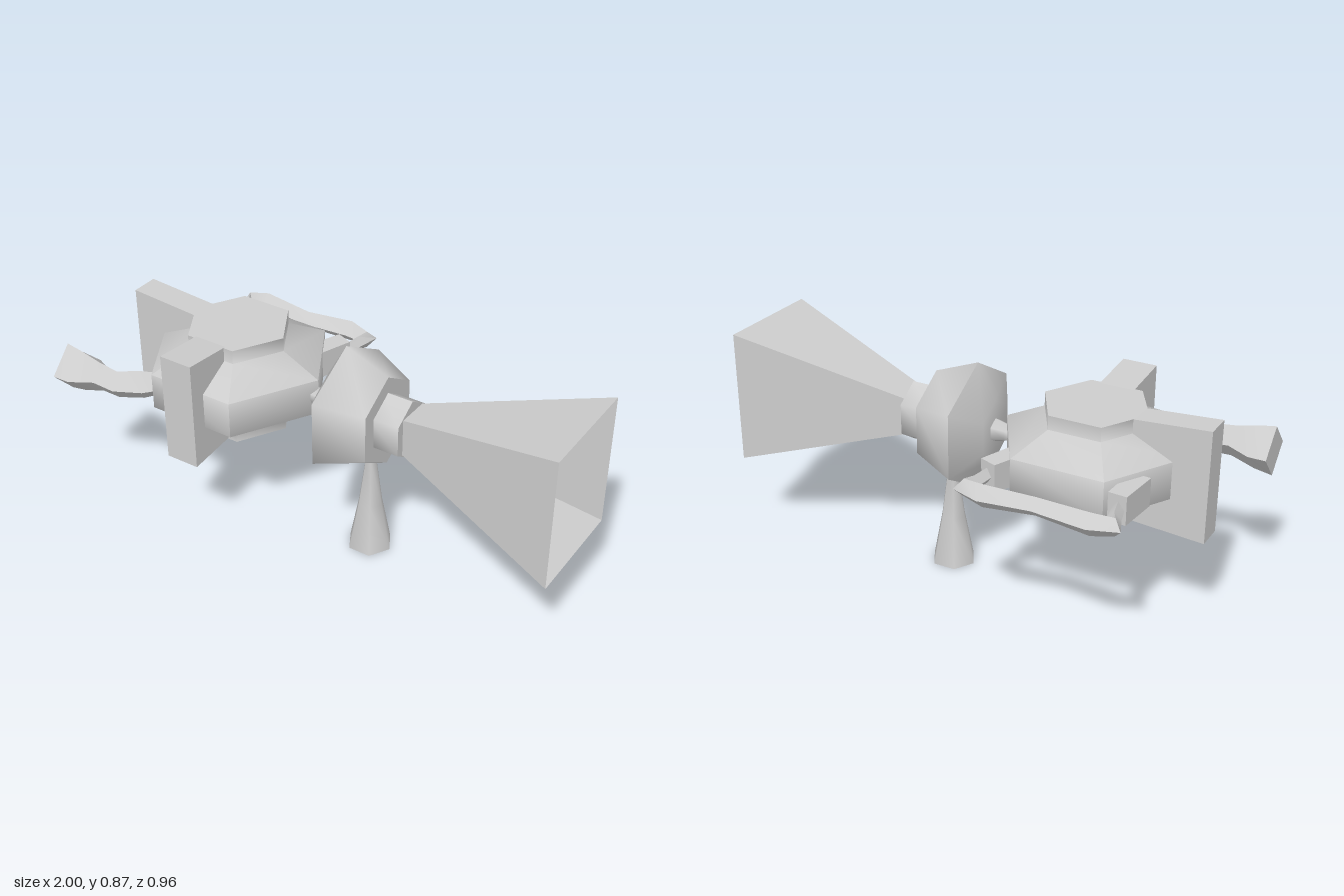
import * as THREE from 'three';
import { toCreasedNormals } from 'three/addons/utils/BufferGeometryUtils.js';

const CREASE = 1.1;
const CY = 0.605, CZ = 0.033; // height and depth of the main axis

// Loft through horizontal rings [x, y, z, vertical radius, sideways radius]
function loft(rings, sides, { turn = 0, axis = null } = {}) {
  const up = new THREE.Vector3(0, 1, 0);
  const centres = rings.map(r => new THREE.Vector3(r[0], r[1], r[2]));
  const pos = [], index = [], n = rings.length;
  rings.forEach((r, i) => {
    const t = axis || centres[Math.min(i + 1, n - 1)].clone().sub(centres[Math.max(i - 1, 0)]);
    const u = new THREE.Vector3().crossVectors(t, up).normalize();
    for (let j = 0; j < sides; j++) {
      const a = turn + j / sides * Math.PI * 2;
      const p = centres[i].clone().addScaledVector(up, Math.cos(a) * r[3])
        .addScaledVector(u, Math.sin(a) * (r[4] ?? r[3]));
      pos.push(p.x, p.y, p.z);
    }
  });
  centres.forEach(c => pos.push(c.x, c.y, c.z));
  for (let j = 0; j < sides; j++) {
    const k = (j + 1) % sides, last = (n - 1) * sides;
    for (let i = 0; i < n - 1; i++) {
      const a = i * sides + j, b = i * sides + k;
      index.push(a, b, b + sides, a, b + sides, a + sides);
    }
    index.push(n * sides, k, j, n * sides + n - 1, last + j, last + k);
  }
  const g = new THREE.BufferGeometry();
  g.setAttribute('position', new THREE.Float32BufferAttribute(pos, 3));
  g.setIndex(index);
  return toCreasedNormals(g, CREASE);
}

// Loft with rectangular sections given by half sizes
function rectLoft(rings, axis) {
  const s = Math.SQRT2;
  return loft(rings.map(([x, y, z, h, w]) => [x, y, z, h * s, w * s]), 4,
    { turn: Math.PI / 4, axis });
}

// Upright six-sided turned shape
function turned(profile) {
  const g = new THREE.LatheGeometry(profile.map(p => new THREE.Vector2(...p)), 6, Math.PI / 2);
  return toCreasedNormals(g, CREASE);
}

export function createModel() {
  const group = new THREE.Group();
  const grey = new THREE.MeshStandardMaterial({ color: 0xcccccc });
  grey.name = 'plain grey';
  const add = (name, geometry, x = 0, y = 0, z = 0) => {
    const m = new THREE.Mesh(geometry, grey);
    m.name = name;
    m.position.set(x, y, z);
    group.add(m);
  };

  // Hexagonal body with a raised cap above and below
  add('body', turned([[0, 0.4], [0.205, 0.4], [0.205, 0.455], [0.36, 0.53],
    [0.36, 0.675], [0.205, 0.75], [0.205, 0.805], [0, 0.805]]), -0.437, 0, 0.036);

  // Two flared fins
  add('sideFin', rectLoft([[-0.5, CY, 0.03, 0.192, 0.054], [-0.9, CY, 0.03, 0.22, 0.054]]));
  add('frontFin', rectLoft([[-0.442, CY, 0.12, 0.192, 0.068], [-0.442, CY, 0.41, 0.22, 0.068]]));

  // Free arm with a swollen end
  add('arm', loft([[-0.62, 0.6, 0.28, 0.045], [-0.68, 0.6, 0.33, 0.06],
    [-0.76, 0.6, 0.38, 0.058, 0.052], [-0.84, 0.605, 0.38, 0.062, 0.05],
    [-0.93, 0.6, 0.38, 0.088, 0.094], [-1, 0.6, 0.38, 0.1, 0.095]], 4));

  // Back handle: sockets at both ends and a bent bar
  add('rightSocket', rectLoft([[-0.69, CY - 0.005, -0.13, 0.055, 0.04],
    [-0.678, CY - 0.005, -0.298, 0.055, 0.036]]));
  add('leftSocket', rectLoft([[-0.245, CY - 0.005, -0.13, 0.055, 0.04],
    [-0.18, CY - 0.005, -0.298, 0.055, 0.036]]));
  add('handle', loft([[-0.675, 0.6, -0.27, 0.03, 0.022], [-0.7, 0.6, -0.37, 0.03, 0.026],
    [-0.725, 0.6, -0.415, 0.035, 0.04], [-0.645, 0.6, -0.437, 0.045, 0.042],
    [-0.43, 0.6, -0.415, 0.036, 0.04], [-0.235, 0.6, -0.437, 0.045, 0.045],
    [-0.15, 0.6, -0.415, 0.035, 0.04], [-0.165, 0.6, -0.37, 0.03, 0.026],
    [-0.18, 0.6, -0.27, 0.03, 0.022]], 4));

  // Neck, head and collar along the main axis
  add('neck', loft([[-0.14, CY, CZ, 0.04], [-0.08, CY, CZ, 0.034],
    [-0.03, CY, CZ, 0.047], [0, CY, CZ, 0.05]], 6));
  add('head', loft([[-0.03, CY, CZ, 0.122, 0.11], [0.045, CY, CZ, 0.258],
    [0.225, CY, CZ, 0.188, 0.174]], 6));
  add('collar', loft([[0.2, CY, CZ, 0.122, 0.11], [0.328, CY, CZ, 0.122, 0.11]], 6));

  // Hollow flared horn
  add('horn', rectLoft([[0.31, 0.606, 0.03, 0.07, 0.062], [1, 0.599, 0.03, 0.266, 0.225],
    [0.36, 0.604, 0.03, 0.01, 0.01]], new THREE.Vector3(1, 0, 0)));

  // Tapered foot under the head
  add('foot', turned([[0, 0], [0.09, 0], [0.05, 0.2], [0.022, 0.4], [0.02, 0.5], [0, 0.5]]),
    0.15, 0, 0.022);

  return group;
}
